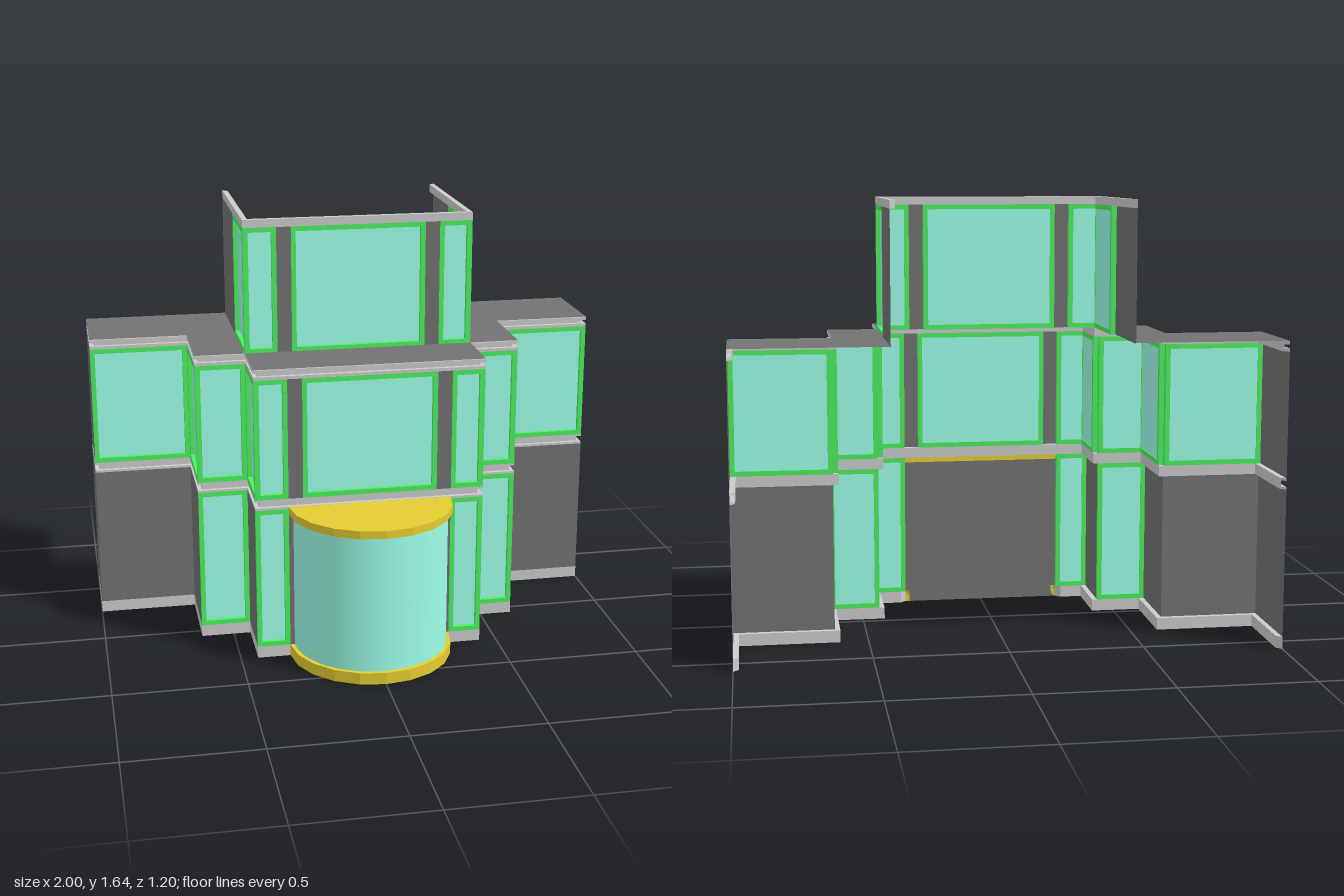
import * as THREE from 'three';

const mat = (color) => new THREE.MeshStandardMaterial({ color, side: THREE.DoubleSide });
const M = {
  wall: mat(0x727272), trim: mat(0xcccccc), glass: mat(0x9dffe8),
  frame: mat(0x4cf05f), gold: mat(0xe4cc30),
};
const T = 0.02; // trim thickness and window depth

// Plan outlines as [x, z], running from the back right corner round the front
const mirrored = (half) => [...half, ...half.map(([x, z]) => [-x, z]).reverse()];
const OUTER = mirrored([[-1, -0.6], [-1, -0.26], [-0.625, -0.26], [-0.625, 0.05], [-0.435, 0.05], [-0.435, 0.285]]);
const TOWER = mirrored([[-0.435, -0.6], [-0.435, 0.05]]);

function add(parent, name, geometry, material) {
  const mesh = new THREE.Mesh(geometry, material);
  mesh.name = name;
  parent.add(mesh);
  return mesh;
}

// Inner copy of an axis-aligned path, mitred at corners and at the open ends
function inset(path, t) {
  const dir = (a, b) => {
    const l = Math.hypot(b[0] - a[0], b[1] - a[1]);
    return [(b[0] - a[0]) / l, (b[1] - a[1]) / l];
  };
  return path.map((p, i) => {
    const a = i > 0 ? dir(path[i - 1], p) : null;
    const b = i < path.length - 1 ? dir(p, path[i + 1]) : null;
    let x = p[0], z = p[1];
    for (const d of [a, b]) if (d) { x += d[1] * t; z -= d[0] * t; }
    if (!a) { x += b[0] * t; z += b[1] * t; }
    if (!b) { x -= a[0] * t; z -= a[1] * t; }
    return [x, z];
  });
}

// Extrude a plan shape (drawn as x, -z) upwards from y0 to y1
function slab(shape, y0, y1, curveSegments = 1) {
  return new THREE.ExtrudeGeometry(shape, { depth: y1 - y0, bevelEnabled: false, curveSegments })
    .rotateX(-Math.PI / 2).translate(0, y0, 0);
}
const planShape = (pts) => new THREE.Shape(pts.map(([x, z]) => new THREE.Vector2(x, -z)));

// Solid strip following a path, between two inset distances
function strip(parent, name, path, y0, y1, from = 0, to = T) {
  const pts = [...(from ? inset(path, from) : path), ...inset(path, to).reverse()];
  return add(parent, name, slab(planShape(pts), y0, y1), M.trim);
}

function rect(w, h, border = 0, Type = THREE.Shape) {
  const b = border;
  return new Type([[b, b], [w - b, b], [w - b, h - b], [b, h - b]].map(([x, y]) => new THREE.Vector2(x, y)));
}

// Green frame with recessed glass
function windowUnit(w, h) {
  const g = new THREE.Group();
  g.name = 'window';
  const border = 0.018;
  const s = rect(w, h);
  s.holes.push(rect(w, h, border, THREE.Path));
  add(g, 'windowFrame', new THREE.ExtrudeGeometry(s, { depth: T, bevelEnabled: false }).translate(0, 0, -T), M.frame);
  add(g, 'windowGlass', new THREE.ShapeGeometry(rect(w, h, border)).translate(0, 0, -T * 0.8), M.glass);
  return g;
}

// One storey: each path edge holds a list of [kind, start, end] panels
function storey(name, path, y0, y1, edges) {
  const g = new THREE.Group();
  g.name = name;
  edges.forEach((panels, i) => {
    const [a, b] = [path[i], path[i + 1]];
    const [dx, dz] = [b[0] - a[0], b[1] - a[1]];
    const length = Math.hypot(dx, dz);
    const face = new THREE.Group();
    face.name = 'facade';
    face.position.set(a[0], y0, a[1]);
    face.rotation.y = Math.atan2(-dz, dx);
    for (const [kind, u0 = 0, u1 = length] of panels) {
      if (kind === 'window') {
        const w = windowUnit(u1 - u0, y1 - y0);
        w.position.x = u0;
        face.add(w);
      } else {
        add(face, 'wallPanel', new THREE.ShapeGeometry(rect(u1 - u0, y1 - y0)).translate(u0, 0, 0), M.wall);
      }
    }
    g.add(face);
  });
  return g;
}

// Half-round bay with gold base and cap
function bay() {
  const g = new THREE.Group();
  g.name = 'bay';
  const R = 0.31, r = 0.293, top = 0.575, base = 0.045;
  const cap = new THREE.Shape().absarc(0, 0, R, Math.PI, 2 * Math.PI, false);
  const ring = new THREE.Shape().absarc(0, 0, R, Math.PI, 2 * Math.PI, false);
  ring.absarc(0, 0, r, 2 * Math.PI, Math.PI, true);
  add(g, 'bayCap', slab(cap, top, 0.605, 5), M.gold);
  add(g, 'bayBase', slab(ring, 0, base, 5), M.gold);
  add(g, 'bayGlass', new THREE.CylinderGeometry(r, r, top - base, 20, 1, true, -Math.PI / 2, Math.PI)
    .translate(0, (top + base) / 2, 0), M.glass);
  add(g, 'bayBackWall', new THREE.PlaneGeometry(2 * R, top).translate(0, top / 2, 0), M.wall);
  g.position.z = 0.285;
  return g;
}

export function createModel() {
  const model = new THREE.Group();
  model.name = 'steppedBuilding';

  const W = [['window']], S = [['wall']];
  const front = [['window', 0, 0.125], ['wall', 0.125, 0.18], ['window', 0.18, 0.69],
    ['wall', 0.69, 0.745], ['window', 0.745, 0.87]];
  const bayFront = [['window', 0, 0.125], ['window', 0.745, 0.87]];

  // Storeys
  model.add(storey('groundFloor', OUTER, 0.045, 0.597, [S, S, S, W, S, bayFront, S, W, S, S, S]));
  model.add(storey('middleFloor', OUTER, 0.638, 1.1, [S, W, W, W, W, front, W, W, W, W, S]));
  model.add(storey('towerFloor', TOWER, 1.137, 1.615, [
    [['wall', 0, 0.34], ['window', 0.34, 0.65]], front, [['window', 0, 0.31], ['wall', 0.31, 0.65]],
  ]));

  // Plinth, split where the bay stands
  for (const side of [-1, 1]) {
    const half = OUTER.slice(0, 6).concat([[-0.31, 0.285]]);
    const path = side < 0 ? half : half.map(([x, z]) => [-x, z]).reverse();
    strip(model, 'plinth', path, 0, 0.045);
  }

  // Grooved ledges above the ground and middle floors
  for (const [y0, y1, lip] of [[0.597, 0.638, 0.009], [1.1, 1.138, 0.012]]) {
    const ledge = new THREE.Group();
    ledge.name = 'ledge';
    strip(ledge, 'ledgeLowerLip', OUTER, y0, y0 + lip);
    strip(ledge, 'ledgeGroove', OUTER, y0 + lip, y1 - lip, 0.016, T);
    strip(ledge, 'ledgeUpperLip', OUTER, y1 - lip, y1);
    model.add(ledge);
  }

  // Terrace roof around the tower, and the tower coping
  const roof = new THREE.ShapeGeometry(planShape([...OUTER, ...[...TOWER].reverse()]));
  add(model, 'terraceRoof', roof.rotateX(-Math.PI / 2).translate(0, 1.14, 0), M.wall);
  strip(model, 'towerCoping', TOWER, 1.615, 1.645);

  model.add(bay());
  return model;
}
